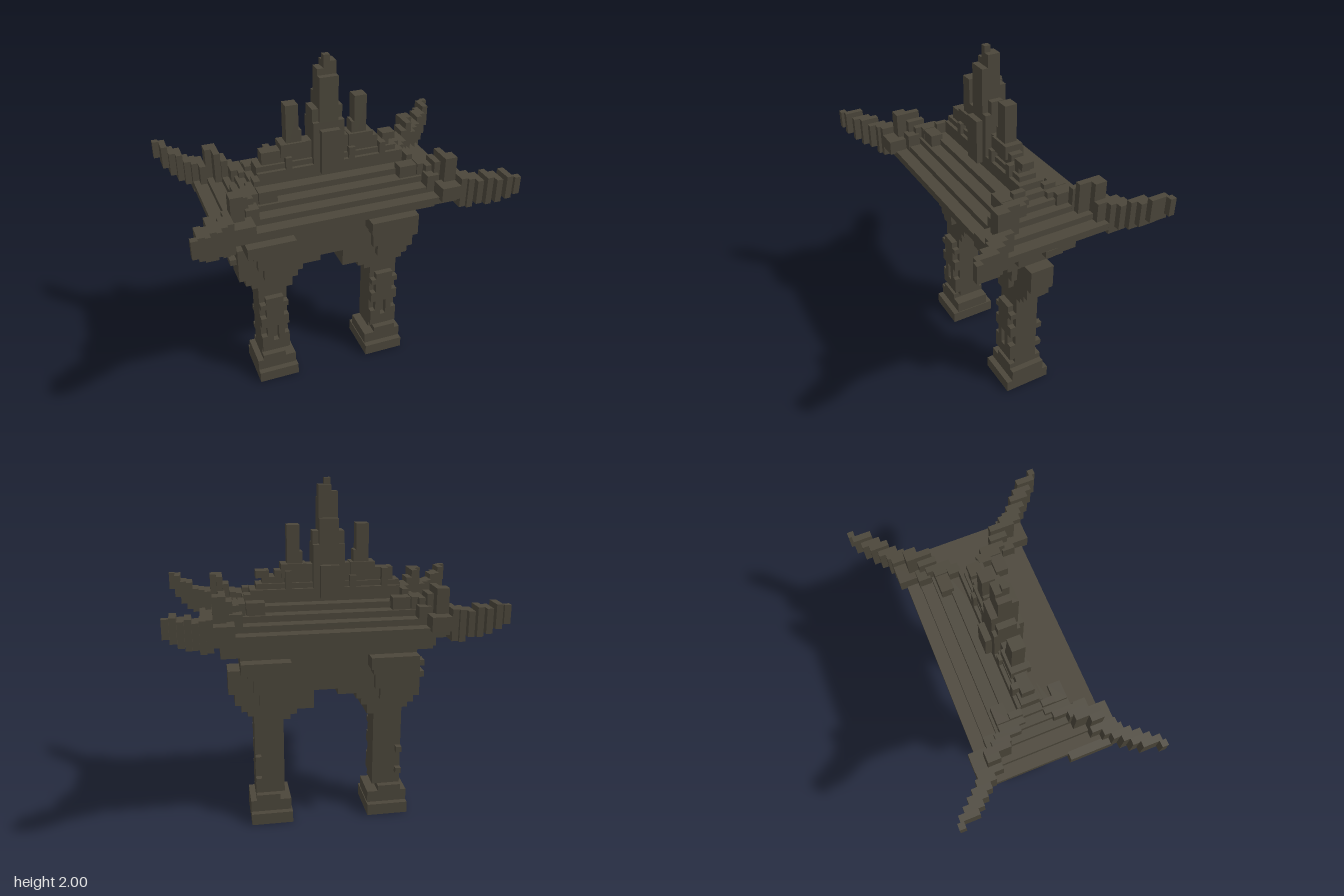
import * as THREE from 'three';

const V = 2 / 57; // one voxel
const AXIS = -0.0175; // legs and walls mirror about this x

export function createModel() {
  const model = new THREE.Group();
  model.name = 'voxelGate';
  const stone = new THREE.MeshStandardMaterial({ color: 0x4b463a });
  stone.name = 'darkStone';

  const part = (name) => {
    const g = new THREE.Group();
    g.name = name;
    model.add(g);
    return g;
  };
  // box between two corners
  const box = (g, x0, x1, y0, y1, z0, z1) => {
    const m = new THREE.Mesh(new THREE.BoxGeometry(x1 - x0, y1 - y0, z1 - z0), stone);
    m.position.set((x0 + x1) / 2, (y0 + y1) / 2, (z0 + z1) / 2);
    m.name = g.name + 'Block';
    g.add(m);
  };
  // the same box on both legs
  const pair = (g, x0, x1, ...r) => {
    box(g, x0, x1, ...r);
    box(g, 2 * AXIS - x1, 2 * AXIS - x0, ...r);
  };

  // Plinths
  const plinths = part('plinth');
  pair(plinths, 0.21, 0.455, 0, 0.07, -0.14, 0.14);
  pair(plinths, 0.215, 0.455, 0.07, 0.14, -0.105, 0.105);
  pair(plinths, 0.28, 0.42, 0.14, 0.175, -0.105, 0.105);
  pair(plinths, 0.25, 0.42, 0.175, 0.21, -0.07, 0.07);

  // Legs: core, slotted front face with a worn edge, knobs behind
  const legs = part('leg');
  pair(legs, 0.25, 0.42, 0.21, 0.81, -0.07, 0.07);
  pair(legs, 0.28, 0.316, 0.21, 0.6, 0.07, 0.105);
  pair(legs, 0.351, 0.386, 0.21, 0.6, 0.07, 0.105);
  for (const [y0, y1] of [[0.21, 0.28], [0.39, 0.6]]) pair(legs, 0.316, 0.351, y0, y1, 0.07, 0.105);
  for (const [y0, y1] of [[0.21, 0.32], [0.39, 0.46], [0.525, 0.56]]) {
    pair(legs, 0.386, 0.42, y0, y1, 0.07, 0.105);
    pair(legs, 0.25, 0.28, y0, y1, 0.07, 0.105);
  }
  for (const y of [0.25, 0.39]) pair(legs, 0.386, 0.42, y, y + V, -0.105, -0.07);

  // Stepped brackets: outer flare and inner corbels
  const brackets = part('bracket');
  const flare = [[0.67, 0.455], [0.7, 0.49], [0.74, 0.525], [0.95, 0.49], [1.06, 0]];
  flare.slice(0, 4).forEach(([y, x], i) => pair(brackets, 0.25, x, y, flare[i + 1][0], -0.07, 0.07));
  box(brackets, 0.525, 0.56, 0.81, 0.95, -0.07, 0.07);
  pair(brackets, 0.28, 0.386, 0.74, 0.81, -0.105, 0.105);
  pair(brackets, 0.25, 0.42, 0.81, 0.92, -0.105, 0.105);
  for (const y of [0.84, 0.91]) box(brackets, -0.597, -0.56, y, y + V, -0.035, 0.035);
  pair(brackets, 0.21, 0.26, 0.64, 0.74, -0.07, 0.07);
  box(brackets, 0.07, 0.26, 0.7, 0.82, -0.07, 0.07);
  box(brackets, 0.17, 0.26, 0.67, 0.7, -0.07, 0.07);
  box(brackets, -0.29, -0.21, 0.7, 0.82, -0.07, 0.07);
  box(brackets, -0.21, -0.18, 0.74, 0.82, -0.07, 0.07);
  box(brackets, -0.18, -0.07, 0.775, 0.82, -0.07, 0.07);

  // Capitals over the legs
  const capitals = part('capital');
  pair(capitals, 0.23, 0.45, 0.91, 0.95, -0.14, 0.14);
  pair(capitals, 0.21, 0.49, 0.95, 1.02, -0.175, 0.175);

  // Lintel and cornice
  const lintel = part('lintel');
  box(lintel, -0.49, 0.455, 0.81, 1.07, -0.07, 0.07);
  box(lintel, -0.525, 0.49, 1.02, 1.06, -0.105, 0.105);
  const cornice = part('cornice');
  box(cornice, -0.597, 0.597, 1.06, 1.13, -0.175, 0.175);
  box(cornice, -0.632, 0.597, 1.06, 1.16, -0.12, 0.12);
  box(cornice, -0.597, 0.597, 1.13, 1.17, -0.14, 0.14);
  box(cornice, 0.597, 0.632, 1.09, 1.125, -0.035, 0.035);
  for (const s of [-1, 1]) {
    for (const x of [-0.3, -0.16, 0.09, 0.23]) {
      box(cornice, x, x + V, 1.13, 1.165, s * 0.1575 - 0.0175, s * 0.1575 + 0.0175);
    }
  }

  // Stepped hip roof
  const roof = part('roof');
  box(roof, -0.66, 0.66, 1.16, 1.2, -0.29, 0.29);
  box(roof, -0.735, -0.69, 1.165, 1.235, 0.105, 0.35);
  const halfX = [0.7, 0.63, 0.56, 0.51, 0.46];
  halfX.forEach((x, i) => {
    const z = 0.35 - 0.07 * i;
    box(roof, -x, x, i ? 1.195 + V * i : 1.19, 1.232 + V * i, -z, z);
  });

  // Hip ornaments and sweeping corner horns: x, depth z, bottom y, top y, half width
  const horns = part('cornerHorn');
  const sweep = [
    [0.42, 0.09, 1.3, 1.4, 0.035], [0.455, 0.125, 1.28, 1.37, 0.07], [0.49, 0.16, 1.25, 1.37, 0.07],
    [0.525, 0.21, 1.22, 1.4, 0.05], [0.56, 0.245, 1.2, 1.44, 0.07], [0.595, 0.28, 1.2, 1.44, 0.035],
    [0.63, 0.315, 1.165, 1.34, 0.07], [0.665, 0.35, 1.165, 1.34, 0.0525], [0.7, 0.385, 1.2, 1.34, 0.0525],
    [0.735, 0.42, 1.21, 1.37, 0.0525], [0.77, 0.455, 1.235, 1.37, 0.0525], [0.805, 0.49, 1.27, 1.4, 0.0525],
    [0.84, 0.5425, 1.3, 1.4, 0.0175],
  ];
  for (const sx of [-1, 1]) {
    for (const sz of [-1, 1]) {
      for (const [x, z, y0, y1, h] of sweep) {
        const xc = sx * (x + 0.0175), zc = sz * z;
        box(horns, xc - 0.0176, xc + 0.0176, y0, y1, zc - h, zc + h);
      }
      // extra stones beside the hip
      const xs = sx * 0.4, zs = sz * 0.16;
      box(horns, xs - 0.05, xs + 0.05, 1.3, 1.37, zs - 0.035, zs + 0.035);
      box(horns, sx * 0.575 - 0.055, sx * 0.575 + 0.055, 1.22, 1.3, sz * 0.335 - 0.05, sz * 0.335 + 0.05);
      box(horns, sx * 0.51 - 0.035, sx * 0.51 + 0.035, 1.25, 1.335, sz * 0.25 - 0.035, sz * 0.25 + 0.035);
    }
  }

  // Ridge with uneven crest
  const ridge = part('ridge');
  box(ridge, -0.42, 0.42, 1.36, 1.41, -0.07, 0.07);
  box(ridge, -0.42, 0.385, 1.4, 1.44, -0.05, 0.05);
  box(ridge, -0.385, 0.35, 1.43, 1.475, -0.035, 0.035);
  box(ridge, -0.385, 0.28, 1.47, 1.51, -0.035, 0.035);
  box(ridge, 0.31, 0.385, 1.47, 1.51, -0.035, 0.035);
  for (let i = 0; i < 8; i++) {
    const x = -0.35 + i * 0.09;
    const s = i % 2 ? 1 : -1;
    box(ridge, x, x + V, 1.4, 1.475 + (i % 3 === 0 ? V : 0), s * 0.0525 - 0.0175, s * 0.0525 + 0.0175);
  }

  // Side spires
  const spires = part('sideSpire');
  pair(spires, 0.14, 0.21, 1.47, 1.755, -0.035, 0.035);
  pair(spires, 0.125, 0.21, 1.5, 1.61, -0.035, 0.035);
  pair(spires, 0.105, 0.245, 1.47, 1.545, -0.05, 0.05);

  // Central spire, narrowing upward from a cross-shaped base
  const tower = part('centralSpire');
  const tiers = [
    [-0.07, 0.035, 1.36, 1.54, -0.105, 0.105], [-0.07, 0.035, 1.5, 1.61, -0.07, 0.105],
    [-0.105, 0.07, 1.36, 1.65, -0.07, 0.07], [-0.105, 0.035, 1.64, 1.72, -0.05, 0.05],
    [0.03, 0.07, 1.64, 1.72, -0.035, 0.035], [-0.07, 0.035, 1.6, 1.79, -0.07, 0.07],
    [-0.07, 0.035, 1.79, 1.895, -0.035, 0.07], [-0.07, 0.035, 1.89, 1.93, -0.035, 0.035],
    [-0.035, 0.035, 1.92, 1.965, -0.035, 0.035], [-0.035, 0, 1.96, 2, 0, 0.035],
    [-0.14, 0.105, 1.4, 1.54, -0.035, 0.035],
  ];
  for (const t of tiers) box(tower, ...t);

  return model;
}
